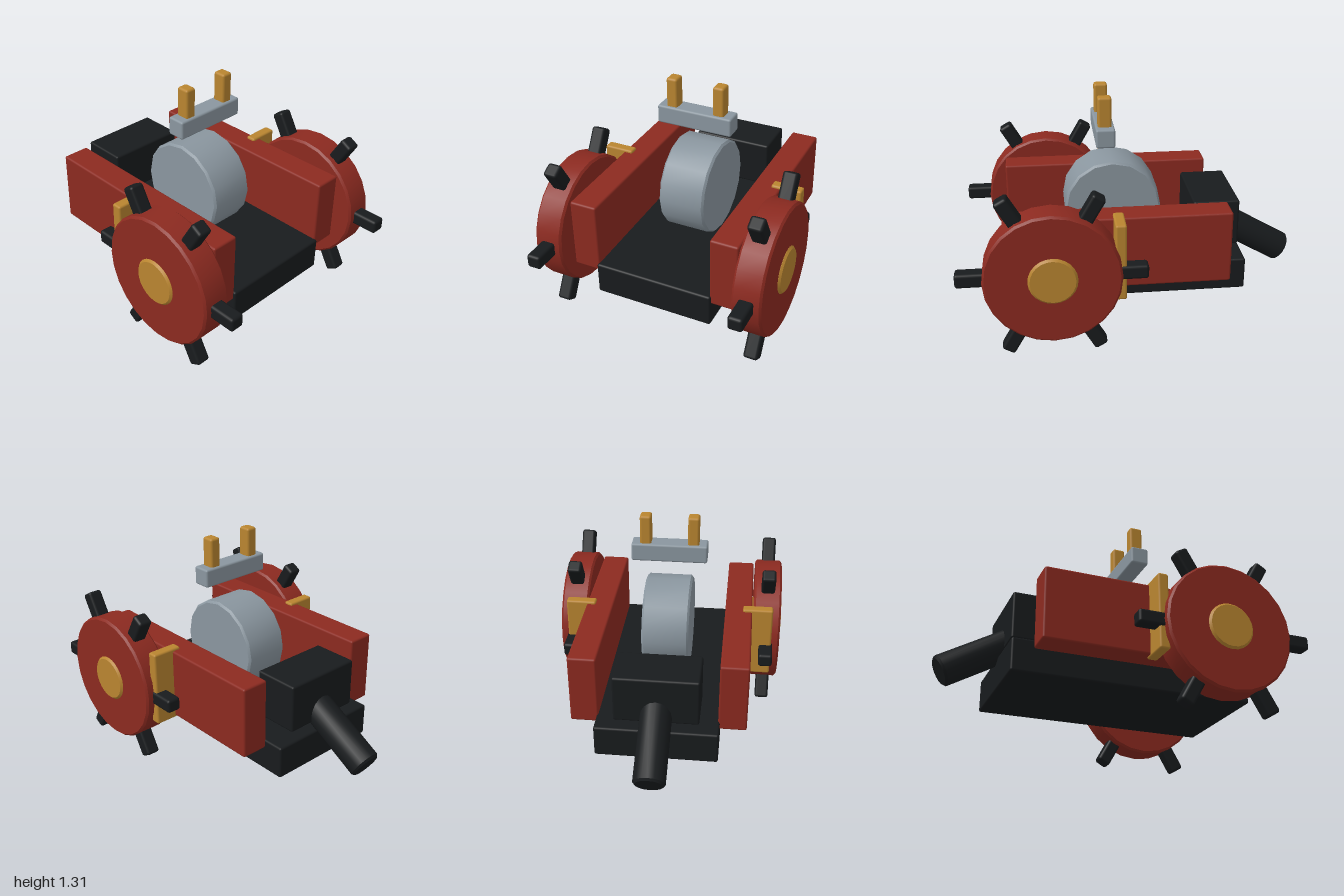
import * as THREE from 'three';
import { RoundedBoxGeometry } from 'three/addons/geometries/RoundedBoxGeometry.js';
import { toCreasedNormals } from 'three/addons/utils/BufferGeometryUtils.js';

const paint = (color) => new THREE.MeshStandardMaterial({ color });

export function createModel() {
  const red = paint(0x8c2a20);
  const black = paint(0x181b1d);
  const brass = paint(0xb98530);
  const steel = paint(0x8a969f);
  const model = new THREE.Group();

  function add(parent, name, geometry, material) {
    const mesh = new THREE.Mesh(geometry, material);
    mesh.name = name;
    parent.add(mesh);
    return mesh;
  }

  // Block with softened edges, given by its limits on each axis
  function block(parent, name, material, [x0, x1], [y0, y1], [z0, z1], bevel = 0.012) {
    const geometry = new RoundedBoxGeometry(x1 - x0, y1 - y0, z1 - z0, 2, bevel);
    geometry.translate((x0 + x1) / 2, (y0 + y1) / 2, (z0 + z1) / 2);
    return add(parent, name, geometry, material);
  }

  // Cylinder along y with bevelled rims
  function disc(radius, length, sides, b = 0.012) {
    const h = length / 2;
    const profile = [[0, -h], [radius - b, -h], [radius, b - h], [radius, h - b], [radius - b, h], [0, h]]
      .map(([x, y]) => new THREE.Vector2(x, y));
    return toCreasedNormals(new THREE.LatheGeometry(profile, sides), 0.5);
  }

  // Body: bed, rear housing and the drum between the rails
  block(model, 'bed', black, [-0.35, 0.35], [0.175, 0.365], [-0.645, 0.755]);
  block(model, 'rearHousing', black, [-0.24, 0.24], [0.41, 0.69], [-0.62, -0.35]);
  const drum = add(model, 'drum', disc(0.28, 0.276, 16).rotateZ(Math.PI / 2), steel);
  drum.position.set(0, 0.64, 0.11);

  // Tail rod, sloping down to the back
  const tail = add(model, 'tailRod', disc(0.09, 0.48, 16).rotateX(-Math.PI / 2), black);
  tail.rotation.x = -Math.PI / 6;
  tail.position.set(0, 0.373, -0.745);

  // Floating crossbar with two upright pegs
  block(model, 'crossbar', steel, [-0.223, 0.223], [1.035, 1.143], [0.1, 0.208]);
  for (const x of [-0.14, 0.14]) {
    block(model, 'peg', brass, [x - 0.033, x + 0.033], [1.13, 1.312], [0.115, 0.193], 0.014);
  }

  // Rails, brackets and spiked wheels on both sides
  for (const side of [-1, 1]) {
    const span = (a, b) => (side > 0 ? [a, b] : [-b, -a]);
    block(model, 'sideRail', red, span(0.34, 0.502), [0.315, 0.735], [-0.522, 0.74]);
    block(model, 'bracket', brass, span(0.447, 0.627), [0.303, 0.75], [0.08, 0.141]);

    const wheel = new THREE.Group();
    wheel.name = side > 0 ? 'leftWheel' : 'rightWheel';
    wheel.position.set(side * 0.594, 0.47, 0.48);
    model.add(wheel);
    add(wheel, 'wheelDisc', disc(0.376, 0.166, 24).rotateZ(Math.PI / 2), red);
    add(wheel, 'hub', disc(0.135, 0.192, 24).rotateZ(Math.PI / 2), brass);
    for (let i = 0; i < 6; i++) {
      const spike = block(wheel, 'spike', black, [-0.042, 0.042], [-0.04, 0.04], [0.3, 0.52], 0.016);
      spike.rotation.x = (i * Math.PI) / 3;
    }
  }
  return model;
}
